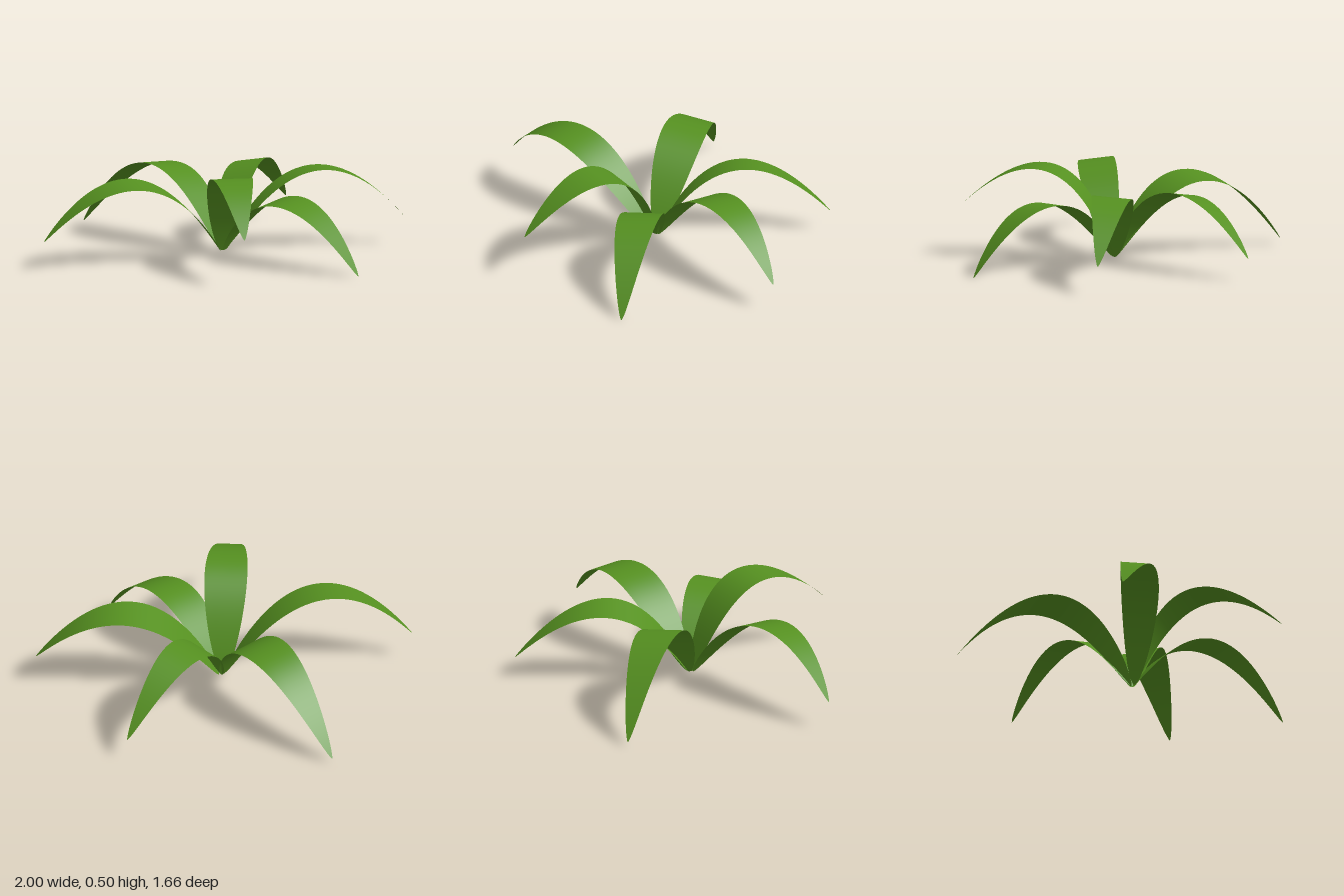
import * as THREE from 'three';

// base, control and tip of each leaf's arching midrib; heading of the blade
// about y, slope of the blade from side to side, and greatest width
const LEAVES = [
  { name: 'frontLeaf', base: [0, 0.02, -0.01], arch: [0.005, 0.84, 0.25], tip: [0.005, 0.265, 0.83], heading: 0, tilt: 0, width: 0.23 },
  { name: 'frontLeftLeaf', base: [0.01, 0.02, -0.01], arch: [0.30, 0.69, 0.31], tip: [0.65, 0, 0.63], heading: 0.785, tilt: -0.08, width: 0.225 },
  { name: 'leftLeaf', base: [0.02, 0.02, -0.02], arch: [0.47, 0.787, -0.121], tip: [1, 0.155, -0.115], heading: 1.6, tilt: 0.07, width: 0.22 },
  { name: 'backLeftLeaf', base: [0.01, 0.02, -0.02], arch: [0.14, 0.75, -0.385], tip: [0.46, 0.12, -0.835], heading: 2.58, tilt: 0.2, width: 0.19 },
  { name: 'backRightLeaf', base: [0, 0.02, -0.02], arch: [-0.22, 0.83, -0.37], tip: [-0.64, 0.025, -0.8], heading: -2.47, tilt: -0.12, width: 0.235 },
  { name: 'rightLeaf', base: [-0.01, 0.02, 0], arch: [-0.47, 0.79, 0.23], tip: [-1, 0.155, 0.245], heading: -1.37, tilt: 0.12, width: 0.205 },
];

// blade outline: broad below the middle, tapering to a narrow rounded tip
const outline = (t) => Math.max(0, Math.sin(Math.PI * Math.pow(t, 0.8))) ** 0.7;

// bend a flat strip along the midrib
function leafGeometry({ base, arch, tip, heading, tilt, width }) {
  const midrib = new THREE.QuadraticBezierCurve3(
    new THREE.Vector3(...base), new THREE.Vector3(...arch), new THREE.Vector3(...tip));
  const across = new THREE.Vector3(-Math.cos(heading), tilt, Math.sin(heading));
  const geometry = new THREE.PlaneGeometry(1, 1, 4, 48);
  const pos = geometry.attributes.position;
  const p = new THREE.Vector3();
  for (let i = 0; i < pos.count; i++) {
    const side = pos.getX(i);
    // rows are packed more closely at both ends to keep them round
    const t = 0.5 + 0.5 * Math.sin(Math.PI * pos.getY(i));
    midrib.getPoint(t, p).addScaledVector(across, side * width * outline(t));
    pos.setXYZ(i, p.x, p.y, p.z);
  }
  geometry.computeVertexNormals();
  return geometry;
}

export function createModel() {
  const plant = new THREE.Group();
  plant.name = 'leafRosette';
  const green = new THREE.MeshStandardMaterial({ color: 0x559020, side: THREE.DoubleSide });
  for (const leaf of LEAVES) {
    const mesh = new THREE.Mesh(leafGeometry(leaf), green);
    mesh.name = leaf.name;
    plant.add(mesh);
  }
  return plant;
}
